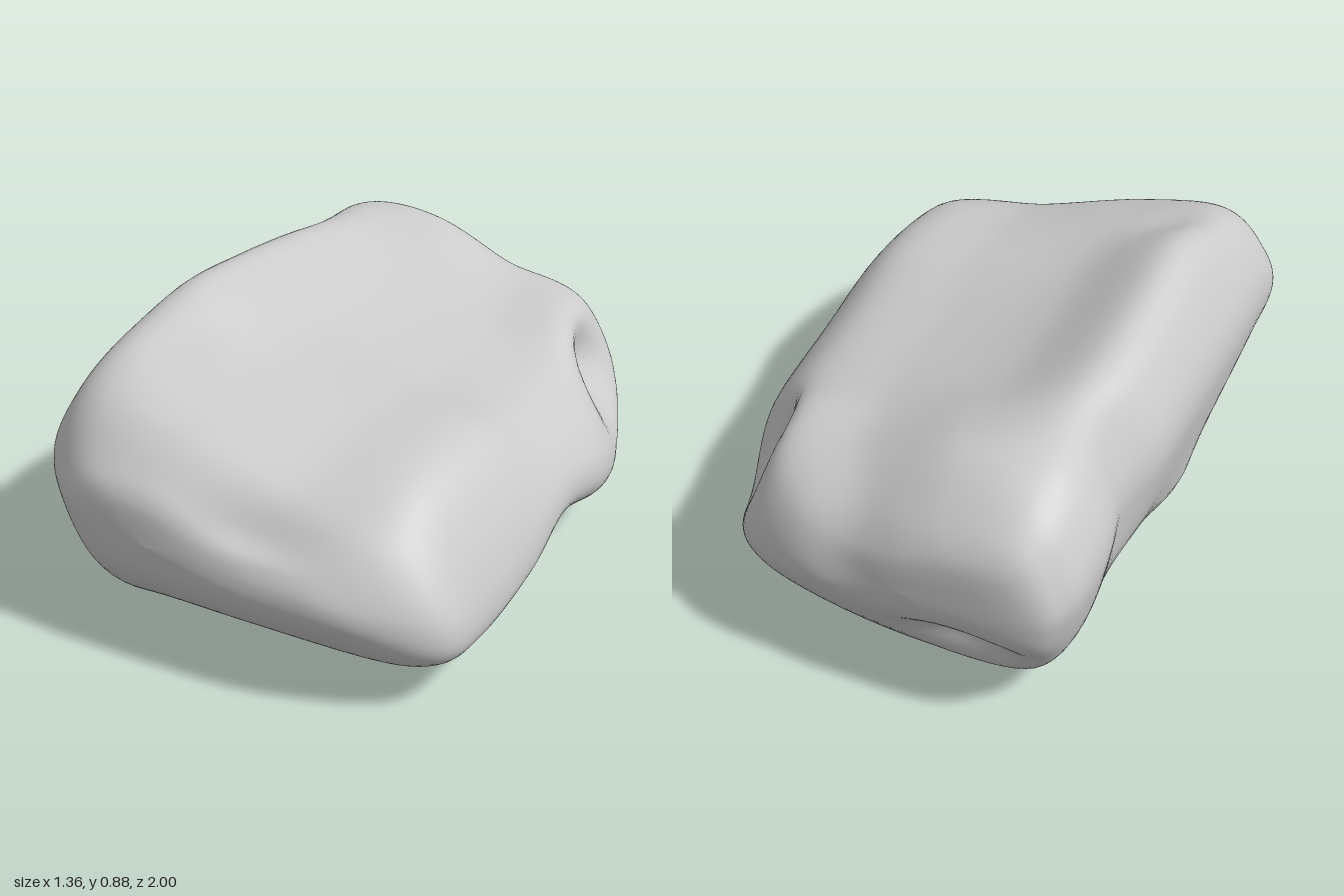
import * as THREE from 'three';
import { mergeVertices } from 'three/addons/utils/BufferGeometryUtils.js';

// Stations along the boulder, back to front, and how each contour runs over them.
const Z = [-1, -0.985, -0.9, -0.75, -0.55, -0.3, 0, 0.3, 0.6, 0.8, 0.93, 0.985, 1];
const RIGHT_X = [-0.2, 0.1, 0.33, 0.48, 0.56, 0.63, 0.64, 0.675, 0.675, 0.65, 0.45, 0.2, -0.2];
const LEFT_X = [-0.2, -0.55, -0.65, -0.675, -0.665, -0.675, -0.675, -0.675, -0.67, -0.65, -0.54, -0.42, -0.2];

// Contours around the section: f = place across the width, y = heights.
const CONTOURS = [
  { f: 0, y: [0.43, 0.42, 0.43, 0.45, 0.47, 0.48, 0.48, 0.48, 0.47, 0.45, 0.43, 0.42, 0.4] },
  { f: 0.04, y: [0.43, 0.52, 0.6, 0.67, 0.7, 0.72, 0.74, 0.74, 0.71, 0.63, 0.54, 0.48, 0.4] },
  { f: 0.15, y: [0.43, 0.59, 0.7, 0.78, 0.81, 0.83, 0.86, 0.88, 0.815, 0.73, 0.6, 0.52, 0.4] }, // crest
  { f: 0.37, y: [0.43, 0.59, 0.69, 0.77, 0.75, 0.7, 0.71, 0.74, 0.73, 0.68, 0.58, 0.51, 0.4] },
  { f: 0.62, y: [0.43, 0.54, 0.61, 0.65, 0.64, 0.6, 0.61, 0.66, 0.64, 0.58, 0.49, 0.46, 0.4] },
  { f: 0.87, y: [0.43, 0.49, 0.54, 0.58, 0.58, 0.52, 0.54, 0.6, 0.58, 0.5, 0.44, 0.42, 0.4] }, // low shoulder
  { f: 1, y: [0.43, 0.4, 0.37, 0.32, 0.25, 0.29, 0.34, 0.3, 0.26, 0.28, 0.33, 0.37, 0.4] },
  { f: 0.92, y: [0.43, 0.34, 0.25, 0.17, 0.12, 0.13, 0.19, 0.15, 0.11, 0.14, 0.25, 0.32, 0.4] },
  { f: 0.5, y: [0.43, 0.3, 0.16, 0.05, 0, 0.05, 0.04, 0.04, 0.06, 0.12, 0.21, 0.3, 0.4] }, // underside
  { f: 0.13, y: [0.43, 0.31, 0.18, 0.1, 0.08, 0.1, 0.06, 0.05, 0.05, 0.12, 0.23, 0.31, 0.4] },
];

// Soft hollows and swellings: centre, radii and push.
const DENTS = [
  { at: [0.52, 0.43, -0.62], r: [0.2, 0.15, 0.16], push: [-0.13, 0, 0] }, // side notch
  { at: [-0.66, 0.6, -0.45], r: [0.16, 0.3, 0.13], push: [0.04, -0.01, 0] }, // side groove
  { at: [-0.35, 0.23, -0.95], r: [0.19, 0.09, 0.15], push: [0, 0.03, 0.08] }, // back hollow
  { at: [0, 0.55, -0.98], r: [0.12, 0.2, 0.15], push: [0, 0, 0.03] }, // back fold
  { at: [-0.62, 0.15, 0.78], r: [0.13, 0.16, 0.25], push: [0.1, 0.02, 0] }, // front undercut
  { at: [-0.55, 0.1, 0.1], r: [0.12, 0.14, 0.18], push: [-0.04, 0.01, 0] }, // low side swelling
  { at: [0.15, 0.46, 0.93], r: [0.2, 0.1, 0.15], push: [0, -0.01, -0.025] }, // front dip
  { at: [-0.4, 0.78, 0.52], r: [0.12, 0.12, 0.12], push: [0, -0.025, 0] }, // crest dip
  { at: [-0.2, 0.03, 0.75], r: [0.12, 0.12, 0.2], push: [0, 0.04, 0] }, // underside dip
];

// Smooth interpolation of a list, t from 0 to 1.
const track = (list, t) => {
  const s = t * (list.length - 1);
  const i = Math.min(Math.floor(s), list.length - 2);
  const u = s - i;
  const at = (k) => list[Math.max(0, Math.min(list.length - 1, k))];
  const m0 = (at(i + 1) - at(i - 1)) / 2;
  const m1 = (at(i + 2) - at(i)) / 2;
  const u2 = u * u, u3 = u2 * u;
  return (2 * u3 - 3 * u2 + 1) * at(i) + (u3 - 2 * u2 + u) * m0 + (3 * u2 - 2 * u3) * at(i + 1) + (u3 - u2) * m1;
};

function dent(p) {
  const moved = p.clone();
  for (const { at, r, push } of DENTS) {
    const d = ((p.x - at[0]) / r[0]) ** 2 + ((p.y - at[1]) / r[1]) ** 2 + ((p.z - at[2]) / r[2]) ** 2;
    moved.addScaledVector(new THREE.Vector3(...push), Math.exp(-d));
  }
  return moved;
}

function boulderGeometry(rows = 120, around = 100) {
  const positions = [];
  const index = [];
  for (let j = 0; j <= rows; j++) {
    const t = j / rows;
    const left = track(LEFT_X, t);
    const width = track(RIGHT_X, t) - left;
    const z = track(Z, t);
    // Closed smooth section through the contours
    const ring = CONTOURS.map(({ f, y }) => [left + f * width, track(y, t)]);
    const n = ring.length;
    const xs = [], ys = [];
    for (let k = -2; k <= n + 2; k++) {
      const [x, y] = ring[(k + n) % n];
      xs.push(x);
      ys.push(y);
    }
    for (let i = 0; i < around; i++) {
      const s = (2 + (i / around) * n) / (n + 4);
      positions.push(...dent(new THREE.Vector3(track(xs, s), track(ys, s), z)).toArray());
      if (j === rows) continue;
      const a = j * around + i;
      const b = j * around + ((i + 1) % around);
      index.push(a, a + around, b, b, a + around, b + around);
    }
  }
  const geometry = new THREE.BufferGeometry();
  geometry.setAttribute('position', new THREE.Float32BufferAttribute(positions, 3));
  geometry.setIndex(index);

  // Weld the end points and stand it on the ground
  const welded = mergeVertices(geometry, 1e-5);
  welded.computeBoundingBox();
  welded.translate(0, -welded.boundingBox.min.y, 0);
  welded.computeVertexNormals();
  return welded;
}

export function createModel() {
  const group = new THREE.Group();
  group.name = 'rock';
  const boulder = new THREE.Mesh(boulderGeometry(), new THREE.MeshStandardMaterial({ color: 0xcccccc }));
  boulder.name = 'boulder';
  group.add(boulder);
  return group;
}
